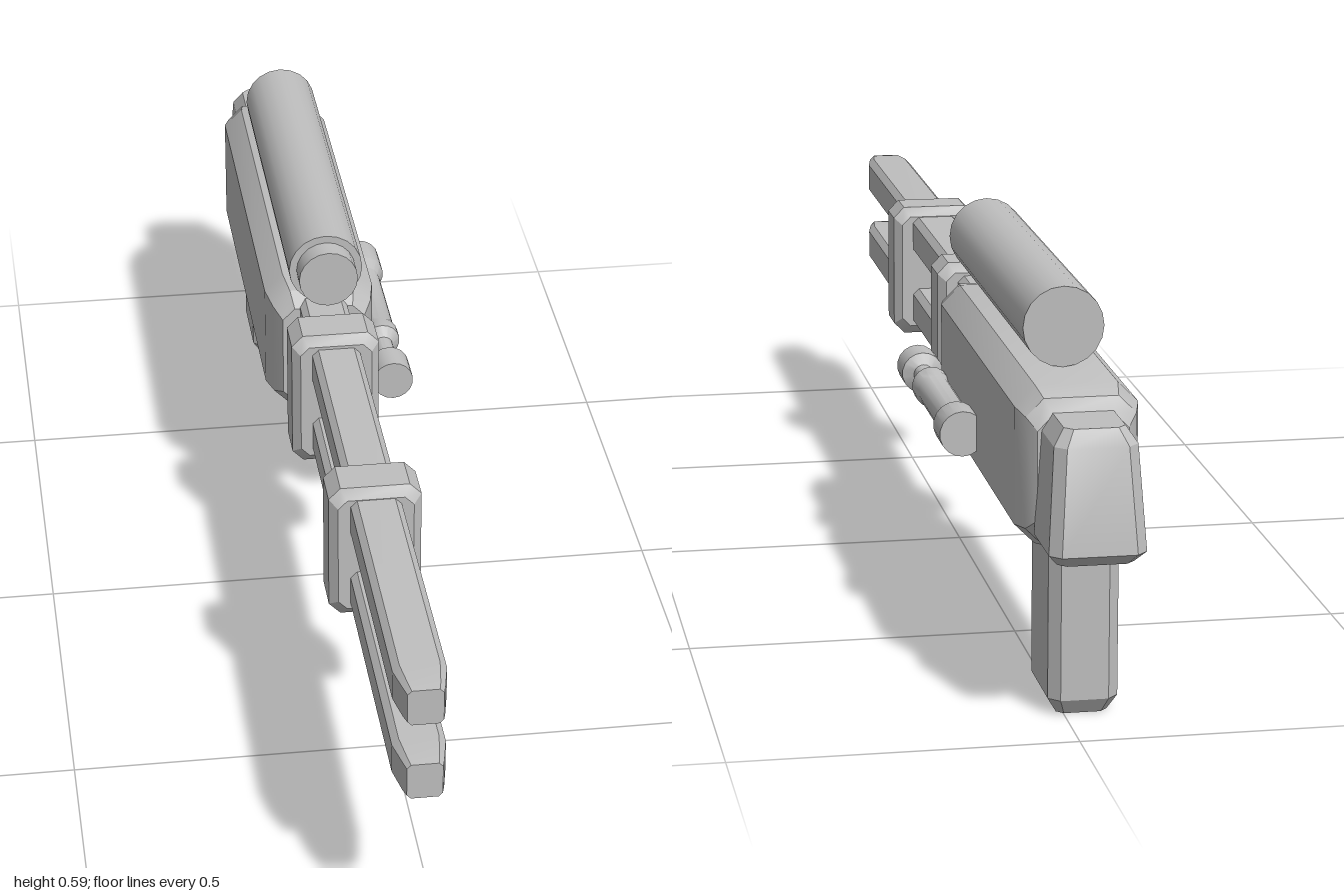
import * as THREE from 'three';
import { toCreasedNormals } from 'three/addons/utils/BufferGeometryUtils.js';

const CX = -0.028; // centre line of the main parts

// Chamfered loft along z; each station is [z, halfWidth, halfHeight, chamfer, centreY]
function loft(stations) {
  const pos = [], idx = [], n = 8;
  for (const [z, w, h, c, cy] of stations) {
    const ring = [[w, -h + c], [w, h - c], [w - c, h], [-w + c, h],
      [-w, h - c], [-w, -h + c], [-w + c, -h], [w - c, -h]];
    for (const [x, y] of ring) pos.push(x, y + cy, z);
  }
  const last = (stations.length - 1) * n;
  for (let s = 0; s < stations.length - 1; s++) {
    for (let i = 0; i < n; i++) {
      const a = s * n + i, b = s * n + (i + 1) % n;
      idx.push(a, b, b + n, a, b + n, a + n);
    }
  }
  for (let i = 1; i < n - 1; i++) {
    idx.push(0, i + 1, i, last, last + i, last + i + 1);
  }
  const g = new THREE.BufferGeometry();
  g.setAttribute('position', new THREE.Float32BufferAttribute(pos, 3));
  g.setIndex(idx);
  return toCreasedNormals(g, 0.5);
}

// Same loft standing upright: stations run along y, the centre value is z
function uprightLoft(stations) {
  return loft(stations.map(([y, w, d, c, cz]) => [y, w, d, c, -cz])).rotateX(-Math.PI / 2);
}

// Turned part along z from [radius, z] points, listed from back to front
function turned(points, sides) {
  const g = new THREE.LatheGeometry(points.map(([r, z]) => new THREE.Vector2(r, z)), sides);
  return toCreasedNormals(g.rotateX(Math.PI / 2), 0.5);
}

export function createModel() {
  const model = new THREE.Group();
  const grey = new THREE.MeshStandardMaterial({ color: 0xbfbfbf });
  grey.name = 'grey';

  const add = (name, geometry, x = CX, y = 0, z = 0) => {
    const mesh = new THREE.Mesh(geometry, grey);
    mesh.name = name;
    mesh.position.set(x, y, z);
    model.add(mesh);
  };

  // Main body
  add('body', loft([
    [-0.872, 0.066, 0.088, 0.022, 0.353],
    [-0.855, 0.080, 0.108, 0.026, 0.354],
    [-0.82, 0.090, 0.117, 0.030, 0.356],
    [-0.19, 0.090, 0.116, 0.030, 0.359],
    [-0.145, 0.081, 0.108, 0.028, 0.359],
    [-0.12, 0.068, 0.088, 0.020, 0.358],
  ]));

  // Twin rails with tapered tips
  for (const [name, y] of [['upperRail', 0.424], ['lowerRail', 0.297]]) {
    add(name, loft([
      [-0.16, 0.039, 0.033, 0.010, 0],
      [0.94, 0.039, 0.033, 0.010, 0],
      [0.985, 0.030, 0.031, 0.007, 0],
      [1.0, 0.026, 0.029, 0.006, 0],
    ]), CX, y);
  }

  // Clamps holding the rails together
  for (const [name, z, h] of [['frontClamp', 0.457, 0.112], ['rearClamp', -0.005, 0.116]]) {
    add(name, loft([
      [-0.045, 0.058, h - 0.015, 0.014, 0],
      [-0.032, 0.071, h, 0.018, 0],
      [0.032, 0.071, h, 0.018, 0],
      [0.045, 0.058, h - 0.015, 0.014, 0],
    ]), CX, 0.361, z);
  }

  // Top tube with a narrower front end
  add('topTube', turned([
    [0, -0.725], [0.06, -0.725], [0.06, -0.092], [0.048, -0.092], [0.048, -0.055], [0, -0.055],
  ], 20), CX, 0.533);

  // Side handle with a knob, thin neck and flared grip
  add('sideHandle', turned([
    [0, -0.512], [0.035, -0.512], [0.035, -0.45], [0.026, -0.43], [0.026, -0.255],
    [0.030, -0.24], [0.030, -0.215], [0.016, -0.2], [0.016, -0.145],
    [0.033, -0.135], [0.033, -0.08], [0, -0.08],
  ], 18), 0.083, 0.32);

  // Tapered rear block
  add('rearBlock', uprightLoft([
    [0.25, 0.055, 0.060, 0.012, -0.915],
    [0.268, 0.070, 0.071, 0.016, -0.924],
    [0.42, 0.060, 0.062, 0.016, -0.914],
    [0.444, 0.044, 0.052, 0.012, -0.908],
  ]));

  // Grip with chamfered foot, and the small web behind it
  add('grip', uprightLoft([
    [0, 0.037, 0.062, 0.010, -0.818],
    [0.024, 0.051, 0.078, 0.016, -0.818],
    [0.26, 0.051, 0.078, 0.016, -0.818],
  ]));
  add('gripWeb', uprightLoft([
    [0.236, 0.045, 0.045, 0.012, -0.86],
    [0.275, 0.055, 0.055, 0.012, -0.86],
  ]));

  return model;
}
